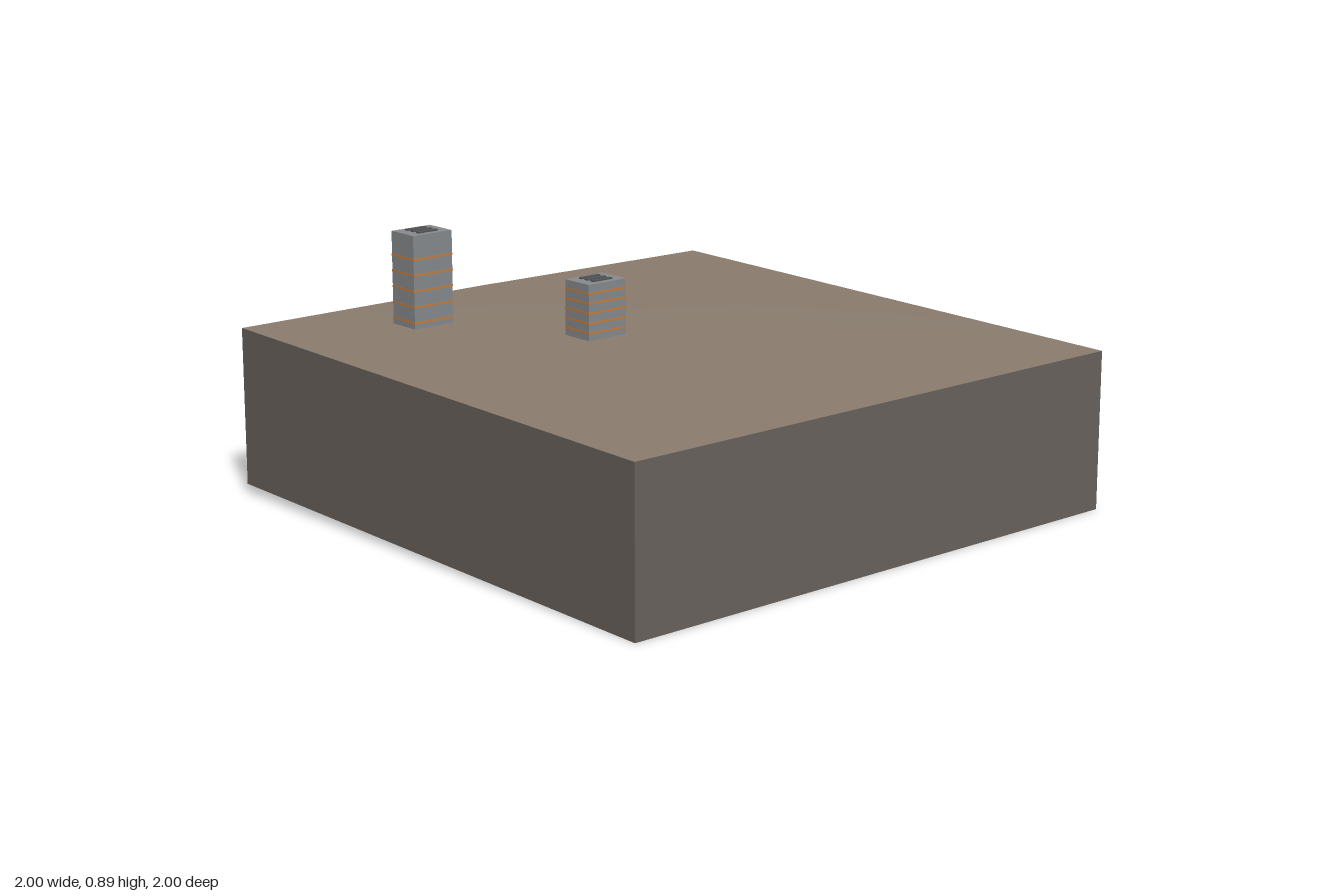
import * as THREE from 'three';

const mat = (name, color, side = THREE.FrontSide) => {
  const m = new THREE.MeshStandardMaterial({ color, side });
  m.name = name;
  return m;
};

const WALL_DEPTH = 0.537;

// gentle slope falling to +x, with a low swell in the middle and a dip at the back left
function groundHeight(x, z) {
  const swell = 0.01 * (1 - z * z) * (1 - x * x);
  const dip = 0.005 * Math.max(0, -z) * (1 - x);
  return 0.5605 - 0.016 * x + swell - dip;
}

// terrain sheet
function groundGeometry(n) {
  const g = new THREE.PlaneGeometry(2, 2, n, n).rotateX(-Math.PI / 2);
  const p = g.attributes.position;
  for (let i = 0; i < p.count; i++) p.setY(i, groundHeight(p.getX(i), p.getZ(i)));
  g.computeVertexNormals();
  return g;
}

// one earth wall hanging from a terrain edge, turned to its side
function wallGeometry(n, angle) {
  const g = new THREE.PlaneGeometry(2, 1, n, 1).translate(0, 0, 1).rotateY(angle);
  const p = g.attributes.position;
  for (let i = 0; i < p.count; i++) {
    const top = groundHeight(p.getX(i), p.getZ(i));
    p.setY(i, p.getY(i) > 0 ? top : top - WALL_DEPTH);
  }
  g.computeVertexNormals();
  return g;
}

export function createModel() {
  const model = new THREE.Group();
  model.name = 'terrainBlock';
  const soil = mat('soil', 0x8b7d6f, THREE.DoubleSide);
  const earth = mat('cutEarth', 0x6a635d, THREE.DoubleSide);
  const concrete = mat('concrete', 0x888c8f);
  const vent = mat('darkVent', 0x55585a);
  const amber = mat('amberBand', 0xc87f3c);

  const add = (parent, geo, material, name, x = 0, y = 0, z = 0) => {
    const m = new THREE.Mesh(geo, material);
    m.name = name;
    m.position.set(x, y, z);
    parent.add(m);
  };

  add(model, groundGeometry(24), soil, 'ground');
  ['frontWall', 'leftWall', 'backWall', 'rightWall'].forEach((name, i) =>
    add(model, wallGeometry(24, i * Math.PI / 2), earth, name));

  // towers with amber floor bands and three roof vents
  const towers = [
    { name: 'tallTower', x: -0.668, z: 0.5, top: 0.89, firstBand: 0.81, step: 0.0535 },
    { name: 'shortTower', x: -0.17, z: 0.166, top: 0.76, firstBand: 0.73, step: 0.033 },
  ];
  const w = 0.12, d = 0.158;
  for (const t of towers) {
    const tower = new THREE.Group();
    tower.name = t.name;
    tower.position.set(t.x, 0, t.z);
    const base = groundHeight(t.x, t.z);
    const h = t.top - base;
    add(tower, new THREE.BoxGeometry(w, h, d), concrete, 'towerBody', 0, base + h / 2, 0);
    for (let i = 0; i < 5; i++)
      add(tower, new THREE.BoxGeometry(w + 0.002, 0.007, d + 0.002), amber, 'floorBand',
        0, t.firstBand - i * t.step, 0);
    for (const x of [-0.03, 0, 0.03])
      add(tower, new THREE.BoxGeometry(0.015, 0.006, 0.08), vent, 'roofVent', x, t.top + 0.002, 0);
    model.add(tower);
  }
  return model;
}
